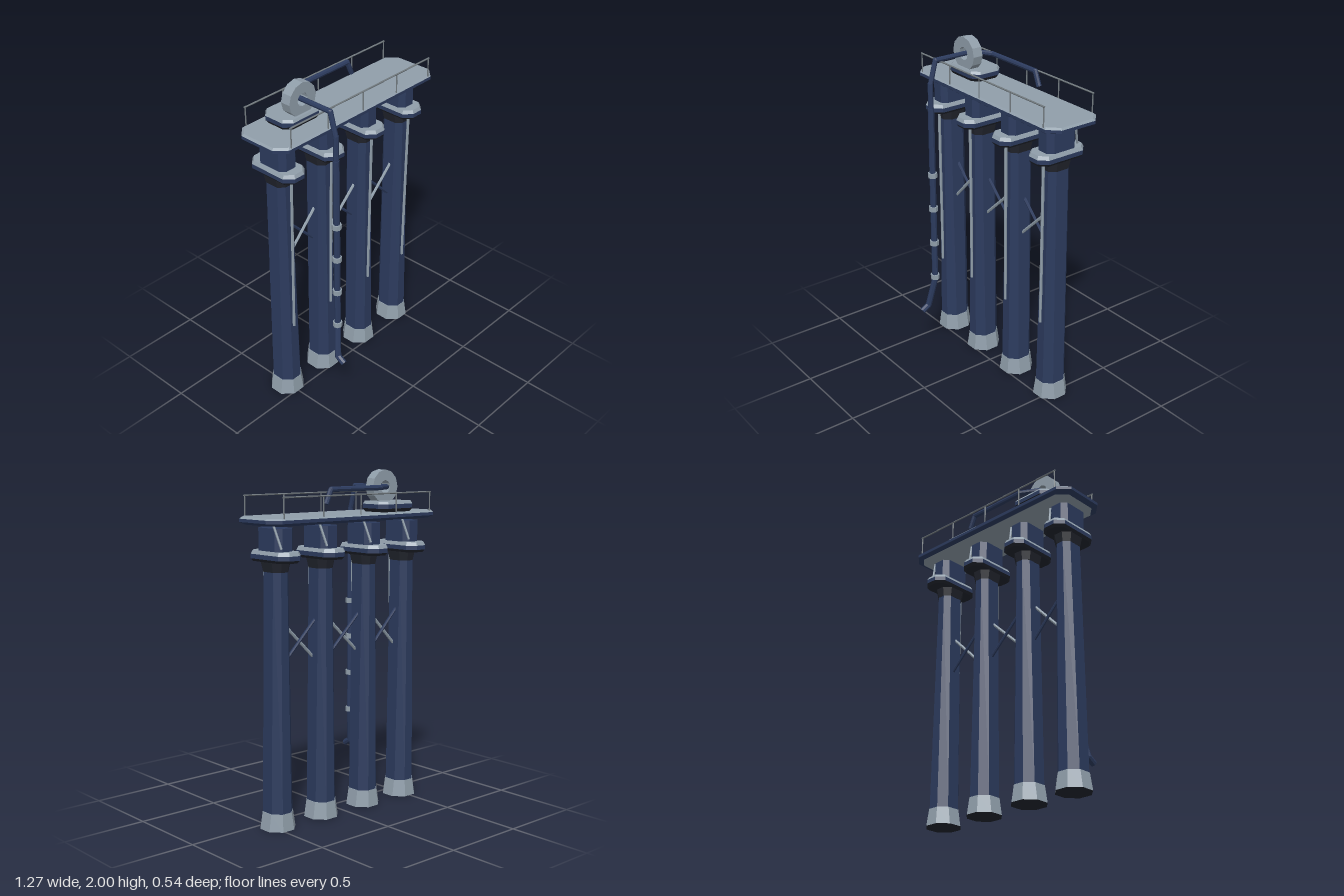
import * as THREE from 'three';

const paint = (name, color) => {
  const m = new THREE.MeshStandardMaterial({ color });
  m.name = name;
  return m;
};

export function createModel() {
  const model = new THREE.Group();
  const navy = paint('navy', 0x2c3b5e);
  const grey = paint('blue grey', 0x909eaa);
  const steel = paint('rail steel', 0x737b80);
  const dark = paint('charcoal', 0x22252e);

  const put = (name, geo, mat, parent = model) => {
    const flat = geo.index ? geo.toNonIndexed() : geo;
    flat.computeVertexNormals();
    const mesh = new THREE.Mesh(flat, mat);
    mesh.name = name;
    parent.add(mesh);
    return mesh;
  };

  // Stacked eight-cornered sections [y, halfX, halfZ, chamfer].
  // Materials run bottom cap, each band upwards, top cap.
  const loft = (name, layers, mats, x, z, parent = model) => {
    const pos = [], geo = new THREE.BufferGeometry();
    const rings = layers.map(([y, a, b, c]) => [
      [a, b - c], [a - c, b], [c - a, b], [-a, b - c],
      [-a, c - b], [c - a, -b], [a - c, -b], [a, c - b],
    ].map(([px, pz]) => [px, y, pz]));
    const add = (...pts) => pts.forEach(p => pos.push(...p));
    let start = 0, slot = 0;
    const close = () => {
      geo.addGroup(start, pos.length / 3 - start, slot++);
      start = pos.length / 3;
    };
    const low = rings[0], high = rings[rings.length - 1];
    for (let i = 1; i < 7; i++) add(low[0], low[i], low[i + 1]);
    close();
    for (let r = 0; r + 1 < rings.length; r++) {
      const p = rings[r], q = rings[r + 1];
      for (let i = 0; i < 8; i++) {
        const j = (i + 1) % 8;
        add(p[i], q[i], q[j], p[i], q[j], p[j]);
      }
      close();
    }
    for (let i = 1; i < 7; i++) add(high[0], high[i + 1], high[i]);
    close();
    geo.setAttribute('position', new THREE.Float32BufferAttribute(pos, 3));
    put(name, geo, mats, parent).position.set(x, 0, z);
  };

  // Straight rod between two points
  const rod = (name, a, b, r, mat, parent = model, sides = 6) => {
    const p = new THREE.Vector3(...a), q = new THREE.Vector3(...b);
    const d = q.clone().sub(p);
    const mesh = put(name, new THREE.CylinderGeometry(r, r, d.length(), sides), mat, parent);
    mesh.position.copy(p).add(q).multiplyScalar(0.5);
    mesh.quaternion.setFromUnitVectors(new THREE.Vector3(0, 1, 0), d.normalize());
  };

  // Rods joined by round elbows
  const pipe = (name, pts, r, mat) => {
    const g = new THREE.Group();
    g.name = name;
    model.add(g);
    pts.forEach((p, i) => {
      if (i) rod('pipeRun', pts[i - 1], p, r, mat, g, 8);
      if (i && i < pts.length - 1)
        put('elbow', new THREE.SphereGeometry(r, 8, 6), mat, g).position.set(...p);
    });
  };

  // Four columns with foot, flared neck, collar and head block
  const zc = -0.088, columns = [-0.498, -0.187, 0.148, 0.473];
  const oct = (y, a, b) => [y, a, b, Math.min(a, b) * 0.586];
  for (const x of columns) {
    const g = new THREE.Group();
    g.name = 'column';
    model.add(g);
    loft('foot', [oct(0, 0.095, 0.097), oct(0.1, 0.079, 0.085)], [dark, grey, grey], x, zc, g);
    loft('shaft', [oct(0.1, 0.075, 0.083), oct(1.46, 0.053, 0.073)], [navy, navy, navy], x, zc, g);
    loft('neck', [oct(1.46, 0.054, 0.074), oct(1.52, 0.067, 0.087)], [dark, dark, dark], x, zc, g);
    loft('collar', [
      [1.515, 0.068, 0.151, 0.04], [1.53, 0.08, 0.163, 0.045],
      [1.555, 0.08, 0.163, 0.045], [1.575, 0.07, 0.153, 0.04],
    ], [dark, dark, navy, grey, grey], x, zc, g);
    loft('headBlock', [[1.57, 0.063, 0.1, 0.03], [1.7, 0.063, 0.1, 0.03]], [navy, navy, navy], x, zc, g);
    rod('headStrut', [x + 0.045, 1.59, -0.195], [x + 0.07, 1.725, -0.155], 0.007, grey, g);
    rod('frontConduit', [x + 0.004, 1.52, 0.006], [x - 0.005, 0.505, -0.006], 0.009, grey, g);
  }

  // Crossed braces between neighbouring columns
  for (let i = 0; i < 3; i++) {
    const l = columns[i] + 0.035, r = columns[i + 1] - 0.035;
    rod('lightBrace', [l, 0.935, zc + 0.008], [r, 1.185, zc + 0.008], 0.009, grey);
    rod('darkBrace', [l, 1.185, zc - 0.008], [r, 0.935, zc - 0.008], 0.009, navy);
  }

  // Deck and reel plinth
  loft('deck', [
    [1.717, 0.605, 0.155, 0.055], [1.732, 0.636, 0.178, 0.062],
    [1.75, 0.636, 0.178, 0.062], [1.76, 0.624, 0.167, 0.058],
  ], [grey, navy, navy, grey, grey], 0, -0.095);
  loft('reelPlinth', [
    [1.76, 0.125, 0.092, 0.036], [1.78, 0.139, 0.106, 0.042],
    [1.805, 0.139, 0.106, 0.042], [1.82, 0.13, 0.097, 0.038],
  ], [dark, dark, navy, grey, grey], -0.328, -0.14);

  // Handrails along both long edges
  for (const z of [0.077, -0.262]) {
    const g = new THREE.Group();
    g.name = 'handrail';
    model.add(g);
    rod('topRail', [-0.56, 1.87, z], [0.56, 1.87, z], 0.005, steel, g);
    for (let i = -2; i <= 2; i++)
      rod('railPost', [i * 0.277, 1.755, z], [i * 0.277, 1.87, z], 0.004, steel, g);
  }

  // Hose reel: a faceted ring
  const circle = (r, n, Kind) => new Kind(Array.from({ length: n }, (_, i) =>
    new THREE.Vector2(r * Math.cos(i * 2 * Math.PI / n), r * Math.sin(i * 2 * Math.PI / n))));
  const ring = circle(0.1, 12, THREE.Shape);
  ring.holes.push(circle(0.038, 12, THREE.Path));
  put('hoseReel', new THREE.ExtrudeGeometry(ring, { depth: 0.062, bevelEnabled: false }), grey)
    .position.set(-0.328, 1.9, -0.12);

  // Supply pipe over the deck, and the hose hanging at the front
  const hx = -0.327;
  pipe('deckPipe', [
    [hx, 1.76, 0.178], [hx, 1.9, 0.14], [hx, 1.9, -0.13],
    [-0.22, 1.9, -0.19], [0.16, 1.9, -0.19], [0.195, 1.82, -0.19],
  ], 0.015, navy);
  pipe('upperDrop', [[hx, 1.6, 0.178], [hx, 1.77, 0.178]], 0.016, navy);
  pipe('hangingHose', [
    [hx, 1.62, 0.178], [hx, 0.5, 0.178], [-0.36, 0.305, 0.21], [-0.36, 0.275, 0.258],
  ], 0.019, navy);
  for (const y of [0.515, 0.75, 0.98, 1.2])
    rod('hoseClamp', [hx, y - 0.015, 0.178], [hx, y + 0.015, 0.178], 0.028, grey, model, 8);

  return model;
}
